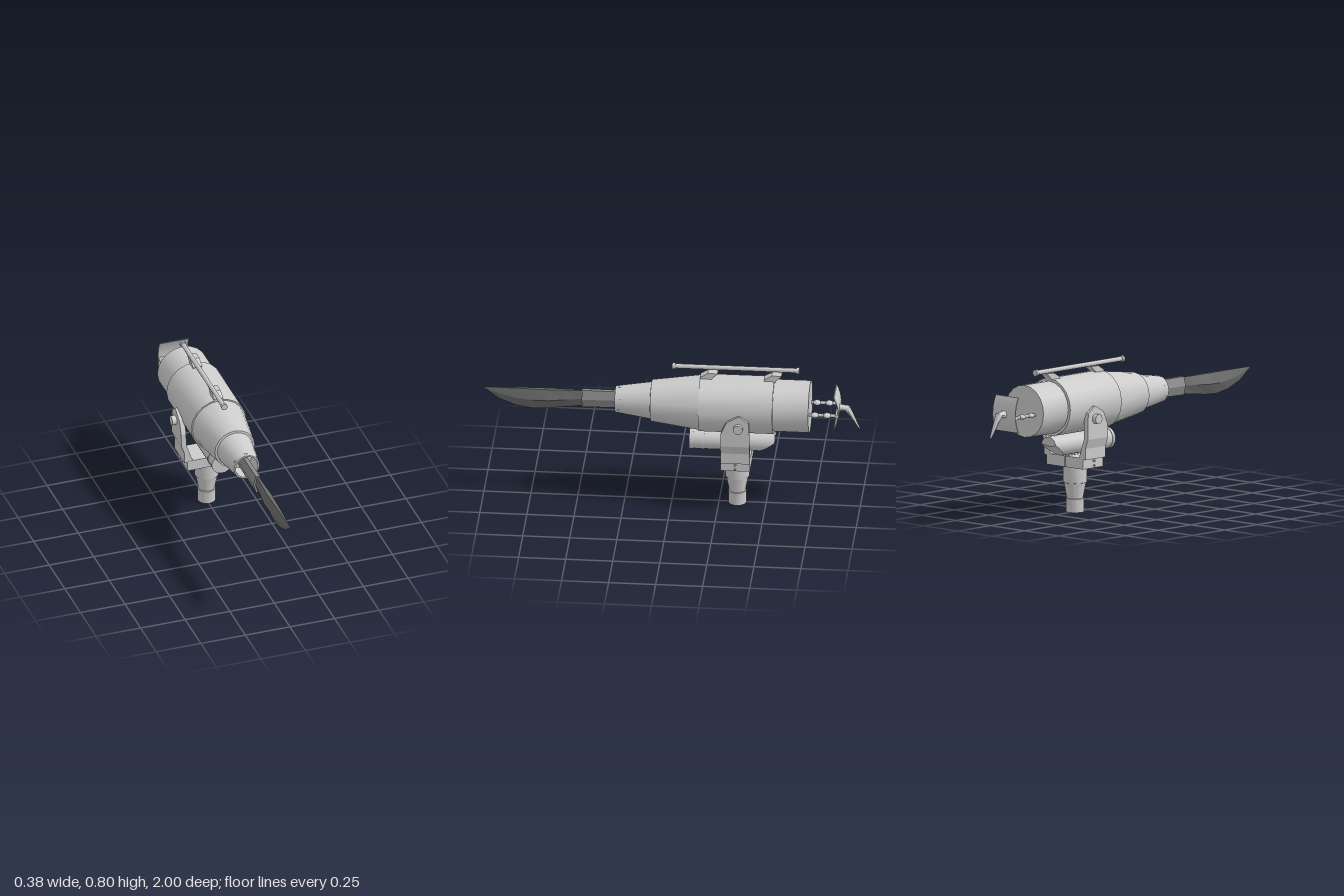
import * as THREE from 'three';
import { toCreasedNormals } from 'three/addons/utils/BufferGeometryUtils.js';

const grey = new THREE.MeshStandardMaterial({ color: 0xcccccc });
const steel = new THREE.MeshStandardMaterial({ color: 0x8c8c8c, flatShading: true });
const darkSteel = new THREE.MeshStandardMaterial({ color: 0x6c6c6c, flatShading: true });

const AXIS_Y = 0.582;   // height of the barrel axis
const MOUNT_Z = -0.347; // centre of post and yoke

// Closed skin over a list of rings (arrays of [x, y, z]), capped at both ends
function loft(rings) {
  const pos = [];
  const tri = (a, b, c) => pos.push(...a, ...b, ...c);
  const n = rings[0].length;
  for (let i = 0; i < rings.length - 1; i++) {
    for (let j = 0; j < n; j++) {
      const k = (j + 1) % n;
      tri(rings[i][j], rings[i][k], rings[i + 1][k]);
      tri(rings[i][j], rings[i + 1][k], rings[i + 1][j]);
    }
  }
  const first = rings[0], last = rings[rings.length - 1];
  for (let j = 1; j < n - 1; j++) {
    tri(first[0], first[j + 1], first[j]);
    tri(last[0], last[j], last[j + 1]);
  }
  const g = new THREE.BufferGeometry();
  g.setAttribute('position', new THREE.Float32BufferAttribute(pos, 3));
  g.computeVertexNormals();
  return g;
}

// Turned part with crisp edges, profile given as [radius, height]
function turned(profile, sides) {
  const g = new THREE.LatheGeometry(profile.map(p => new THREE.Vector2(...p)), sides);
  return toCreasedNormals(g, 0.5);
}

export function createModel() {
  const root = new THREE.Group();
  root.name = 'harpoonGun';
  const body = new THREE.Group();
  body.name = 'gunAssembly';
  body.position.x = 0.003;
  root.add(body);

  function add(name, geometry, x = 0, y = 0, z = 0, material = grey) {
    const m = new THREE.Mesh(geometry, material);
    m.name = name;
    m.position.set(x, y, z);
    body.add(m);
    return m;
  }
  const cyl = (r, len, sides = 16) => new THREE.CylinderGeometry(r, r, len, sides);

  // Barrel with stepped sleeves and an open muzzle
  add('barrel', turned([
    [0, -0.735], [0.14, -0.735], [0.14, -0.545], [0.155, -0.545], [0.155, -0.15],
    [0.148, -0.15], [0.112, 0.108], [0.1, 0.11], [0.071, 0.3], [0.062, 0.3], [0.062, 0.2], [0, 0.2],
  ], 20).rotateX(Math.PI / 2), 0, AXIS_Y, 0);

  // Small studs round the muzzle
  for (let i = 0; i < 6; i++) {
    const a = Math.PI / 2 + i * Math.PI / 3;
    const stud = add('muzzleStud', new THREE.BoxGeometry(0.006, 0.016, 0.02),
      0.072 * Math.cos(a), AXIS_Y + 0.072 * Math.sin(a), 0.275);
    stud.rotation.z = a;
  }

  // Harpoon shaft: tapered hexagonal bar
  const shaftRing = (z, w, top, bottom) => {
    const mid = (top + bottom) / 2;
    return [[w, mid, z], [w * 0.45, top, z], [-w * 0.45, top, z],
      [-w, mid, z], [-w * 0.45, bottom, z], [w * 0.45, bottom, z]];
  };
  add('harpoonShaft', loft([shaftRing(0.2, 0.024, 0.628, 0.538), shaftRing(0.478, 0.025, 0.63, 0.531)]),
    0, 0, 0, steel);

  // Harpoon blade: straight back, curved cutting edge; [z, half width, top, bottom]
  const blade = [
    [0.478, 0.013, 0.625, 0.534], [0.57, 0.021, 0.625, 0.523], [0.66, 0.028, 0.625, 0.511],
    [0.74, 0.024, 0.625, 0.507], [0.83, 0.017, 0.625, 0.522], [0.92, 0.009, 0.624, 0.558], [1, 0.001, 0.623, 0.618],
  ].map(([z, w, top, bottom]) => {
    const mid = top - (top - bottom) * 0.5;
    return [[w, mid, z], [w * 0.4, top, z], [-w * 0.4, top, z], [-w, mid, z], [0, bottom, z]];
  });
  add('harpoonBlade', loft(blade), 0, 0, 0, darkSteel);

  // Sight tube with end collars, offset to one side
  add('sightTube', cyl(0.013, 0.67, 8).rotateX(Math.PI / 2), -0.02, 0.782, -0.338);
  for (const z of [-0.008, -0.667])
    add('sightCollar', cyl(0.018, 0.016, 8).rotateX(Math.PI / 2), -0.02, 0.782, z);

  // Slanted sight brackets
  for (const z of [-0.15, -0.49]) {
    const ring = (y, front, back) => [[-0.025, y, z - back], [-0.025, y, z - front],
      [0.025, y, z - front], [0.025, y, z - back]];
    add('sightBracket', loft([ring(0.728, 0, 0.06), ring(0.742, 0, 0.068),
      ring(0.762, 0.035, 0.092), ring(0.767, 0.042, 0.094)]));
  }

  // Canister slung under the barrel, its tail cut on a slope
  const canister = new THREE.CylinderGeometry(0.055, 0.055, 0.455, 24, 1).rotateX(Math.PI / 2);
  const cp = canister.attributes.position;
  for (let i = 0; i < cp.count; i++) {
    if (cp.getZ(i) < 0) cp.setZ(i, -0.1375 - Math.min(0.09, (cp.getY(i) + 0.055) * 1.3));
  }
  add('canister', toCreasedNormals(canister, 0.5), 0, 0.368, -0.3225);
  for (const z of [-0.105, -0.167])
    add('canisterBand', cyl(0.0575, z < -0.15 ? 0.014 : 0.02, 24).rotateX(Math.PI / 2), 0, 0.368, z);

  // Post
  add('post', turned([[0, 0], [0.048, 0], [0.048, 0.072], [0.043, 0.074], [0.06, 0.158],
    [0.064, 0.16], [0.064, 0.25], [0, 0.25]], 24), 0, 0, MOUNT_Z);

  for (const s of [1, -1]) {
    // Half of the split yoke base
    add('yokeBase', new THREE.BoxGeometry(0.13, 0.059, 0.155), s * 0.068, 0.2775, MOUNT_Z);

    // Yoke arm from levels [y, inner x, outer x, front z, back z]
    const rings = [
      [0.3, 0.1, 0.151, -0.27, -0.425], [0.307, 0.104, 0.151, -0.27, -0.425], [0.36, 0.122, 0.151, -0.27, -0.425],
      [0.41, 0.14, 0.168, -0.27, -0.425], [0.48, 0.14, 0.168, -0.272, -0.425],
      [0.55, 0.14, 0.168, -0.303, -0.42], [0.585, 0.145, 0.168, -0.36, -0.376],
    ].map(([y, xi, xo, zf, zb]) => {
      const r = [[s * xi, y, zb], [s * xi, y, zf], [s * xo, y, zf], [s * xo, y, zb]];
      return s > 0 ? r : r.reverse();
    });
    add('yokeArm', loft(rings));

    // Pivot bolt
    add('pivotBolt', cyl(0.026, 0.06, 16).rotateZ(Math.PI / 2), s * 0.16 - 0.003, 0.518, -0.365);

    // Clamp pins on the base
    for (const [y, r] of [[0.288, 0.007], [0.262, 0.005]]) {
      add('clampPin', cyl(r * 0.6, 0.02, 8).rotateZ(Math.PI / 2), s * 0.137, y, MOUNT_Z);
      add('clampPinHead', cyl(r, 0.004, 8).rotateZ(Math.PI / 2), s * 0.144, y, MOUNT_Z);
    }

    // Linkage rod with beads behind the barrel
    add('linkRod', cyl(0.009, 0.16, 8).rotateX(Math.PI / 2), s * 0.073, 0.57, -0.805);
    for (const z of [-0.765, -0.83])
      add('linkBead', new THREE.SphereGeometry(0.022, 12, 8).scale(1, 0.6, 1), s * 0.073, 0.57, z);
  }

  // Crossbar joining the rods
  add('linkCrossbar', cyl(0.011, 0.165, 8).rotateZ(Math.PI / 2), 0, 0.57, -0.882);

  // Curved guard plate
  const plate = new THREE.BoxGeometry(0.165, 0.19, 0.005, 1, 8, 1);
  const pp = plate.attributes.position;
  for (let i = 0; i < pp.count; i++)
    pp.setZ(i, pp.getZ(i) + 0.024 * (pp.getY(i) / 0.095) ** 2);
  add('guardPlate', toCreasedNormals(plate, 0.5), 0, 0.583, -0.89);

  // Tapered lever bending down behind the plate: [y, z, half width, half thickness, tilt]
  const lever = [
    [0.466, -0.996, 0.006, 0.004, 0.5], [0.505, -0.974, 0.011, 0.008, 0.5], [0.55, -0.95, 0.016, 0.013, 0.5],
    [0.583, -0.93, 0.02, 0.019, 0.7], [0.583, -0.885, 0.022, 0.022, 1.57],
  ].map(([y, z, w, t, tilt]) => Array.from({ length: 8 }, (_, j) => {
    const a = j * Math.PI / 4;
    return [w * Math.sin(a), y - t * Math.cos(a) * Math.sin(tilt), z + t * Math.cos(a) * Math.cos(tilt)];
  }));
  add('lever', toCreasedNormals(loft(lever), 0.9));

  return root;
}
